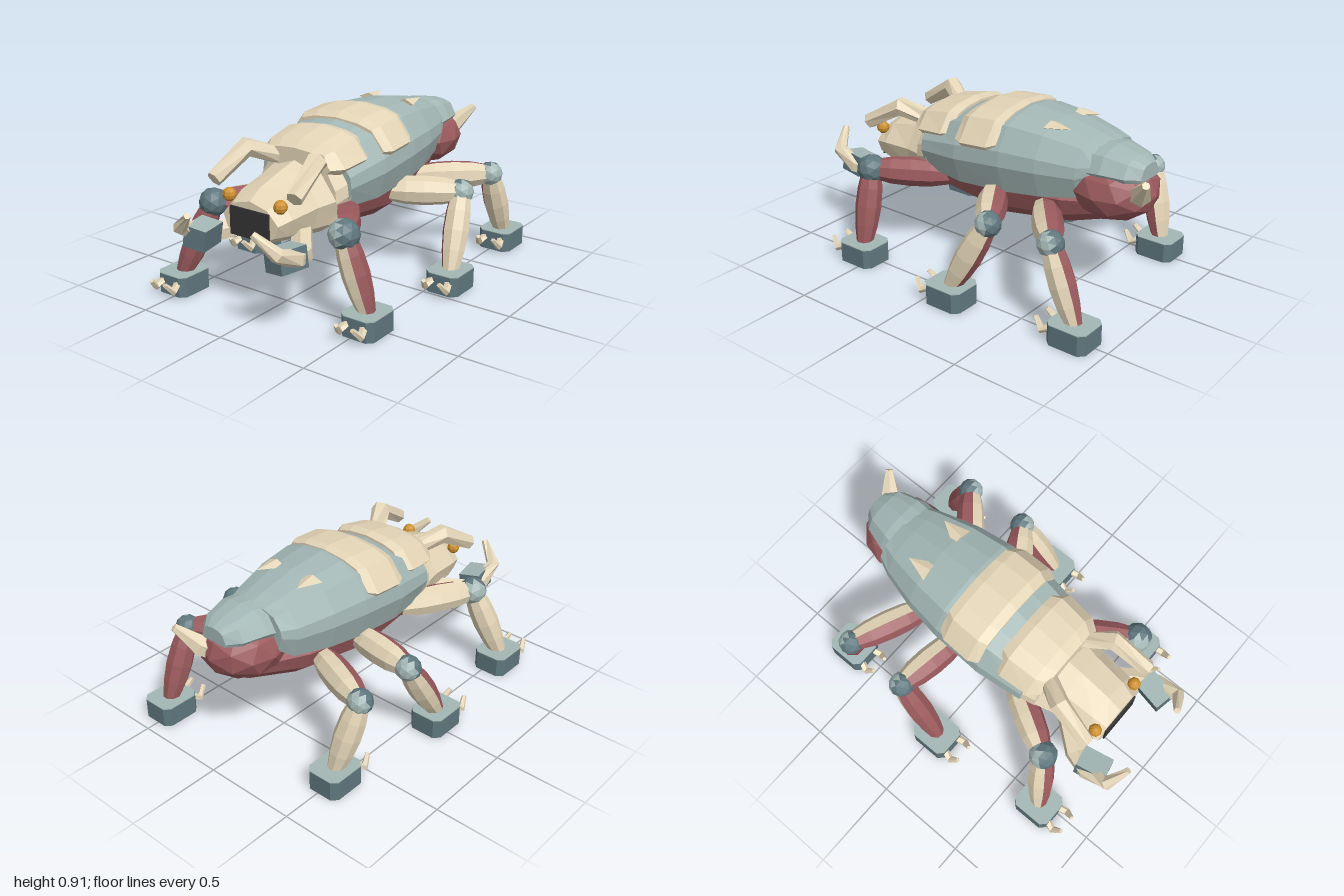
import * as THREE from 'three';

const V = (x, y, z) => new THREE.Vector3(x, y, z);
const paint = (name, color) => {
  const m = new THREE.MeshStandardMaterial({ color });
  m.name = name;
  return m;
};

// Skins a list of equal rings with flat facets; stripe(j) picks the material index of a side.
function skin(rings, stripe = () => 0) {
  const pos = [], n = rings[0].length, geo = new THREE.BufferGeometry();
  const tri = (...p) => p.forEach(q => pos.push(q.x, q.y, q.z));
  for (let j = 0; j < n; j++) {
    const start = pos.length / 3, k = (j + 1) % n;
    for (let i = 0; i < rings.length - 1; i++) {
      const A = rings[i], B = rings[i + 1];
      tri(A[j], A[k], B[k]);
      tri(A[j], B[k], B[j]);
    }
    geo.addGroup(start, pos.length / 3 - start, stripe(j));
  }
  const start = pos.length / 3, last = rings[rings.length - 1];
  for (let j = 1; j < n - 1; j++) {
    tri(rings[0][0], rings[0][j + 1], rings[0][j]);
    tri(last[0], last[j], last[j + 1]);
  }
  geo.addGroup(start, pos.length / 3 - start, 0);
  geo.setAttribute('position', new THREE.Float32BufferAttribute(pos, 3));
  geo.computeVertexNormals();
  return geo;
}

// Mirrored half profile (top to bottom) lofted along +z; station = [z, halfWidth, top, bottom, xShift]
function loft(half, stations) {
  return skin(stations.map(([z, w, top, bot, dx = 0]) => {
    const at = s => ([x, y]) => V(dx + s * x * w, bot + y * (top - bot), z);
    return [...half.map(at(-1)), ...half.filter(p => p[0] > 0).reverse().map(at(1))];
  }));
}

// Faceted tube through points; its first corner is turned toward dir
function tube(points, radii, dir, sides, stripe) {
  const rings = points.map((p, i) => {
    const t = points[Math.min(i + 1, points.length - 1)].clone().sub(points[Math.max(i - 1, 0)]).normalize();
    const u = dir.clone().addScaledVector(t, -dir.dot(t)).normalize();
    const v = t.clone().cross(u);
    return Array.from({ length: sides }, (_, j) => {
      const a = j / sides * Math.PI * 2;
      return p.clone().addScaledVector(u, radii[i] * Math.cos(a)).addScaledVector(v, radii[i] * Math.sin(a));
    });
  });
  return skin(rings, stripe);
}

const flat = g => {
  const f = g.index ? g.toNonIndexed() : g;
  f.computeVertexNormals();
  return f;
};

// Knee ball whose facets toward dir take the second material
function kneeBall(r, dir) {
  const g = flat(new THREE.IcosahedronGeometry(r, 1)), nor = g.attributes.normal, d = dir.clone().normalize();
  for (let i = 0; i < nor.count; i += 3) {
    g.addGroup(i, 3, V(nor.getX(i), nor.getY(i), nor.getZ(i)).dot(d) > 0.3 ? 1 : 0);
  }
  return g;
}

export function createModel() {
  const model = new THREE.Group();
  const cream = paint('cream bone', 0xe4d5b7), teal = paint('teal shell', 0xa3b7b5);
  const red = paint('red flesh', 0x9b5a5d), slate = paint('slate joint', 0x5f777e);
  const dark = paint('dark mouth', 0x353535), amber = paint('amber eye', 0xd0922f);
  const add = (name, geo, mat, parent = model) => {
    const m = new THREE.Mesh(geo, mat);
    m.name = name;
    parent.add(m);
    return m;
  };

  // Body
  const shellHalf = [[0, 1], [0.4, 0.96], [0.74, 0.87], [0.97, 0.58], [1, 0.38], [0.85, 0]];
  const plateHalf = [[0, 1], [0.45, 0.93], [0.74, 0.79], [1, 0.22], [0.88, 0]];
  const roundHalf = [[0, 1], [0.7, 0.95], [1, 0.65], [0.85, 0.3], [0.45, 0.05], [0, 0]];
  add('belly', loft(roundHalf, [[-0.78, 0.1, 0.6, 0.45], [-0.5, 0.21, 0.62, 0.36], [-0.1, 0.262, 0.62, 0.3],
    [0.2, 0.24, 0.6, 0.34], [0.4, 0.15, 0.58, 0.42]]), red);
  add('shell', loft(shellHalf, [[-0.68, 0.19, 0.82, 0.62], [-0.6, 0.225, 0.845, 0.56], [-0.4, 0.28, 0.885, 0.53],
    [-0.2, 0.31, 0.9, 0.51], [0.08, 0.315, 0.86, 0.49], [0.33, 0.28, 0.78, 0.5]]), teal);
  add('middlePlate', loft(plateHalf, [[-0.175, 0.29, 0.9, 0.72], [-0.13, 0.32, 0.908, 0.7],
    [0.03, 0.325, 0.895, 0.69], [0.08, 0.3, 0.87, 0.7]]), cream);
  add('frontPlate', loft(plateHalf, [[0.15, 0.25, 0.85, 0.7], [0.2, 0.28, 0.86, 0.69],
    [0.36, 0.265, 0.825, 0.68], [0.42, 0.22, 0.79, 0.69]]), cream);
  add('neck', loft(shellHalf, [[0.31, 0.27, 0.76, 0.46], [0.4, 0.24, 0.74, 0.42]]), cream);

  // Rear bulb, its cap and the stinger
  const bulb = add('tailBulb', flat(new THREE.IcosahedronGeometry(1, 1)), red);
  bulb.scale.set(0.215, 0.16, 0.225);
  bulb.position.set(0.035, 0.605, -0.715);
  add('tailCap', loft(plateHalf, [[-0.9, 0.08, 0.77, 0.69, 0.035], [-0.84, 0.14, 0.8, 0.69, 0.035],
    [-0.72, 0.175, 0.825, 0.69, 0.03], [-0.58, 0.19, 0.82, 0.67, 0.01]]), teal);
  add('stinger', tube([V(0.06, 0.6, -0.84), V(0.13, 0.64, -0.91), V(0.215, 0.74, -0.985)],
    [0.055, 0.055, 0.02], V(1, 0, 0), 6), cream);

  // Small spikes lying on the shell
  for (const s of [-1, 1]) {
    const spike = add('shellSpike', flat(new THREE.ConeGeometry(0.058, 0.13, 4)), cream);
    spike.scale.z = 0.4;
    spike.rotation.set(-1.5, 0, -s * 0.12);
    spike.position.set(s * 0.127, 0.87, -0.45);
  }

  // Head, mouth and eyes
  const headHalf = [[0, 1], [0.62, 0.86], [1, 0.52], [0.85, 0.18], [0.45, 0]];
  add('head', loft(headHalf, [[0.22, 0.2, 0.7, 0.42], [0.36, 0.25, 0.74, 0.36], [0.5, 0.21, 0.71, 0.37],
    [0.68, 0.195, 0.66, 0.4], [0.76, 0.17, 0.61, 0.42]]), cream);
  add('mouth', new THREE.BoxGeometry(0.24, 0.145, 0.009), dark).position.set(0, 0.498, 0.766);

  for (const s of [-1, 1]) {
    add('eye', flat(new THREE.SphereGeometry(0.035, 8, 6)), amber).position.set(s * 0.158, 0.605, 0.725);
    // Drooping horn
    add('horn', tube([V(s * 0.11, 0.71, 0.36), V(s * 0.215, 0.785, 0.53), V(s * 0.248, 0.665, 0.735)],
      [0.045, 0.052, 0.042], V(s, 0, 0.2), 6), cream);
    // Curved jaw with a block beside it
    add('jaw', tube([V(s * 0.12, 0.43, 0.52), V(s * 0.26, 0.385, 0.7), V(s * 0.3, 0.405, 0.8),
      V(s * 0.3, 0.465, 0.925), V(s * 0.2, 0.56, 0.975)], [0.055, 0.056, 0.05, 0.038, 0.018], V(0, 1, 0.2), 6), cream);
    const block = add('jawBlock', new THREE.BoxGeometry(0.12, 0.11, 0.16),
      [slate, slate, teal, slate, slate, slate]);
    block.position.set(s * 0.26, 0.405, 0.815);
    block.rotation.set(0, -s * 0.2, s * 0.15);
  }

  // Foot outline with clipped corners
  const c = 0.03, X = 0.095, Z = 0.11;
  const outline = new THREE.Shape([[X, c - Z], [X, Z - c], [X - c, Z], [c - X, Z], [-X, Z - c], [-X, c - Z],
    [c - X, -Z], [X - c, -Z]].map(p => new THREE.Vector2(...p)));
  const slab = depth => new THREE.ExtrudeGeometry(outline, { depth, bevelEnabled: false }).rotateX(-Math.PI / 2);
  const footGeo = slab(0.105), topGeo = slab(0.004);

  // Legs: hip, knee, foot centre, knee radius, bone side of thigh and of shin
  const legs = [
    ['leftFrontLeg', [0.17, 0.46, 0.22], [0.41, 0.48, 0.57], [0.525, 0.54], 0.08, [-1, -0.7, 0.7], [-1, 0, 0.7]],
    ['leftMiddleLeg', [0.2, 0.47, -0.1], [0.525, 0.465, -0.315], [0.585, -0.125], 0.068, [0.4, 0.2, 1], [1, 0, 0.7]],
    ['leftRearLeg', [0.18, 0.46, -0.4], [0.505, 0.465, -0.67], [0.515, -0.82], 0.068, [1, -0.3, 1], [1, 0, 0.6]],
    ['rightFrontLeg', [-0.18, 0.46, 0.22], [-0.395, 0.475, 0.59], [-0.53, 0.69], 0.076, [-1, 0.1, -0.5], [-1, 0, -0.8]],
    ['rightMiddleLeg', [-0.2, 0.47, -0.15], [-0.58, 0.465, -0.21], [-0.595, 0.02], 0.068, [0, 0.2, -1], [-0.15, 0, -1]],
    ['rightRearLeg', [-0.18, 0.46, -0.4], [-0.58, 0.465, -0.57], [-0.515, -0.675], 0.066, [0, 0.2, -1], [-0.3, 0, -1]],
  ];
  // Half of each limb's sides are bone, half flesh
  const limb = (a, b, radii, dir) => tube(radii.map((_, i) => a.clone().lerp(b, i / (radii.length - 1))),
    radii, V(...dir), 8, j => (j < 2 || j > 5 ? 1 : 0));
  for (const [name, hip, knee, [fx, fz], r, thighDir, shinDir] of legs) {
    const leg = new THREE.Group(), k = V(...knee);
    leg.name = name;
    model.add(leg);
    add('thigh', limb(V(...hip), k, [0.055, 0.075, 0.079, 0.073, 0.05], thighDir), [red, cream], leg);
    add('shin', limb(k, V(fx, 0.09, fz), [0.05, 0.066, 0.07, 0.061, 0.042], shinDir), [red, cream], leg);
    add('knee', kneeBall(r, V(...shinDir)), [slate, teal], leg).position.copy(k);
    const foot = new THREE.Group();
    foot.name = 'foot';
    foot.position.set(fx, 0, fz);
    leg.add(foot);
    add('footBlock', footGeo, slate, foot);
    add('footTop', topGeo, teal, foot).position.y = 0.105;
    for (const s of [-1, 1]) {
      add('claw', tube([V(s * 0.045, 0.075, 0.09), V(s * 0.062, 0.045, 0.145), V(s * 0.045, 0.095, 0.19)],
        [0.021, 0.021, 0.012], V(1, 0, 0), 5), cream, foot);
    }
  }
  return model;
}
